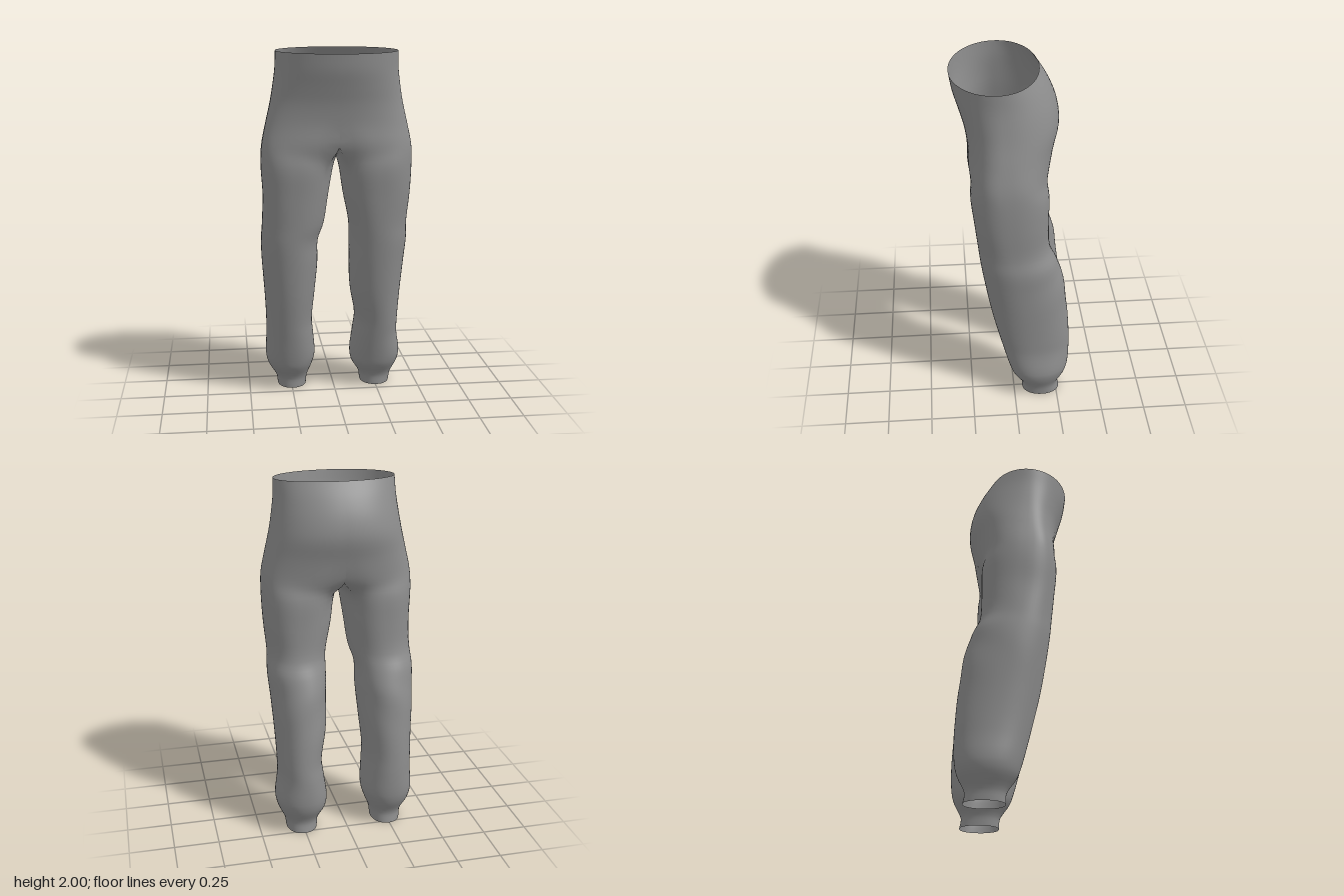
import * as THREE from 'three';
import { mergeVertices, mergeGeometries } from 'three/addons/utils/BufferGeometryUtils.js';

// Hip rings: y front, y back, half width, z front, z back, z of widest point,
// squareness front, squareness back, centre dent
const HIPS = [
  [1.98, 2.0, 0.335, 0.325, -0.144, 0.08, 1, 0.97, 0],
  [1.89, 1.91, 0.338, 0.31, -0.2, 0.075, 0.98, 0.95, 0],
  [1.8, 1.81, 0.35, 0.283, -0.24, 0.07, 0.94, 0.92, 0],
  [1.71, 1.71, 0.366, 0.257, -0.252, 0.065, 0.88, 0.88, 0],
  [1.6, 1.59, 0.392, 0.24, -0.224, 0.06, 0.78, 0.83, 0.01],
  [1.48, 1.46, 0.416, 0.238, -0.196, 0.055, 0.66, 0.72, 0.08],
];

// Leg rings: y, left inner x, left outer x, right inner x, right outer x, z front, z back, z of widest point
const LEGS = [
  [1.36, 0.014, 0.421, 0.018, 0.421, 0.233, -0.187, 0.05],
  [1.2, 0.04, 0.415, 0.045, 0.412, 0.217, -0.188, 0.04],
  [1.03, 0.075, 0.403, 0.07, 0.418, 0.198, -0.196, 0.02],
  [0.93, 0.083, 0.408, 0.1, 0.422, 0.186, -0.243, -0.01],
  [0.8, 0.086, 0.4, 0.1, 0.42, 0.166, -0.275, -0.04],
  [0.6, 0.1, 0.387, 0.115, 0.405, 0.13, -0.305, -0.08],
  [0.43, 0.13, 0.38, 0.128, 0.397, 0.09, -0.318, -0.11],
  [0.33, 0.12, 0.38, 0.12, 0.396, 0.065, -0.322, -0.12],
  [0.2, 0.105, 0.4, 0.11, 0.4, 0.03, -0.316, -0.14],
  [0.14, 0.112, 0.388, 0.125, 0.385, 0.008, -0.3, -0.14],
  [0.06, 0.158, 0.352, 0.155, 0.34, -0.045, -0.262, -0.15],
  [0.0, 0.168, 0.342, 0.162, 0.33, -0.05, -0.27, -0.16],
];

const OUTER = 40, INNER = 16, SUB = 4; // columns outside, columns at the inseam, rows per ring
const CORNER = 0.85; // angle at which the inseam panel starts
const spow = (v, p) => Math.sign(v) * Math.abs(v) ** p;
const SPLIT = (HIPS.length - 1) * SUB;

// Half of a hip ring, from front centre round the side to back centre
function hipPoint([yf, yb, w, zf, zb, zc, pf, pb, dent], u) {
  const t = u * Math.PI, c = Math.cos(t);
  const p = c > 0 ? pf : pb;
  const x = u === 0 || u === 1 ? 0 : w * Math.sin(t) ** p;
  const z = zc + spow(c, p) * (c > 0 ? zf - zc : zc - zb);
  const hollow = 1 - dent * Math.exp(-((x / 0.09) ** 2));
  return new THREE.Vector3(x, yb + (yf - yb) * (c + 1) / 2, z * hollow);
}

// Point on a closed leg ring; angle 0 is the front, growing outwards
function legPoint([y, li, lo, ri, ro, zf, zb, zc], right, angle) {
  const [xi, xo] = right ? [ri, ro] : [li, lo];
  const s = Math.sin(angle), c = Math.cos(angle);
  const p = s > 0 && y > 1.1 ? 0.84 : 0.94; // thighs are squarer on the outside
  const x = (xi + xo) / 2 + spow(s, p) * (xo - xi) / 2;
  const z = zc + spow(c, p) * (c > 0 ? zf - zc : zc - zb);
  return new THREE.Vector3(x, y, z);
}

// Soft slanting fold round the back of the knee
function addFolds(point, angle) {
  const fade = Math.exp(-(((point.y - 0.85) / 0.18) ** 2));
  const back = Math.max(0, 0.3 - Math.cos(angle));
  const d = 0.004 * fade * back * Math.sin(point.y * 20 - angle * 2.5);
  point.x += Math.sin(angle) * d;
  point.z += Math.cos(angle) * d;
}

// One column of cloth running down through its key points
function column(j, right) {
  const outer = j <= OUTER;
  const u = outer ? j / OUTER : (j - OUTER) / INNER;
  const angle = outer
    ? -CORNER + u * (Math.PI + 2 * CORNER)
    : Math.PI + CORNER + u * (Math.PI - 2 * CORNER);
  const keys = [];
  if (outer) {
    HIPS.forEach((row) => keys.push(hipPoint(row, u)));
  } else {
    // crotch seam sagging between back and front
    const last = HIPS[HIPS.length - 1];
    const seam = hipPoint(last, 1).lerp(hipPoint(last, 0), u);
    seam.y -= 0.055 * Math.sin(Math.PI * u);
    keys.push(seam);
  }
  LEGS.forEach((row) => keys.push(legPoint(row, right, angle)));
  const curve = new THREE.CatmullRomCurve3(keys);
  const points = curve.getPoints((keys.length - 1) * SUB);
  const split = outer ? SPLIT : 0;
  points.forEach((p, i) => {
    if (i <= split) p.x = j === 0 || j >= OUTER ? 0 : Math.max(0, p.x);
    else addFolds(p, angle);
  });
  return points;
}

// One half of the garment: half the hips and a whole leg
function halfGeometry(right) {
  const side = right ? -1 : 1;
  const columns = OUTER + INNER;
  const position = [], index = [], start = [];
  for (let j = 0; j < columns; j++) {
    const points = column(j, right);
    start.push(position.length / 3 - (j > OUTER ? SPLIT : 0));
    points.forEach((p) => position.push(p.x * side, p.y, p.z));
  }
  const rows = (HIPS.length + LEGS.length - 1) * SUB;
  for (let j = 0; j < columns; j++) {
    const a = start[j], b = start[(j + 1) % columns];
    for (let i = j < OUTER ? 0 : SPLIT; i < rows; i++) {
      const quad = [a + i, a + i + 1, b + i, b + i, a + i + 1, b + i + 1];
      index.push(...(right ? quad.reverse() : quad));
    }
  }
  const geometry = new THREE.BufferGeometry();
  geometry.setAttribute('position', new THREE.Float32BufferAttribute(position, 3));
  geometry.setIndex(index);
  return geometry;
}

export function createModel() {
  const group = new THREE.Group();
  group.name = 'trousers';
  // Both halves are welded along the centre seam so the shading stays smooth
  const geometry = mergeVertices(mergeGeometries([halfGeometry(false), halfGeometry(true)]), 1e-4);
  geometry.computeVertexNormals();
  const material = new THREE.MeshStandardMaterial({ color: 0x8c8c8c, side: THREE.DoubleSide });
  const cloth = new THREE.Mesh(geometry, material);
  cloth.name = 'trouserCloth';
  group.add(cloth);
  return group;
}
